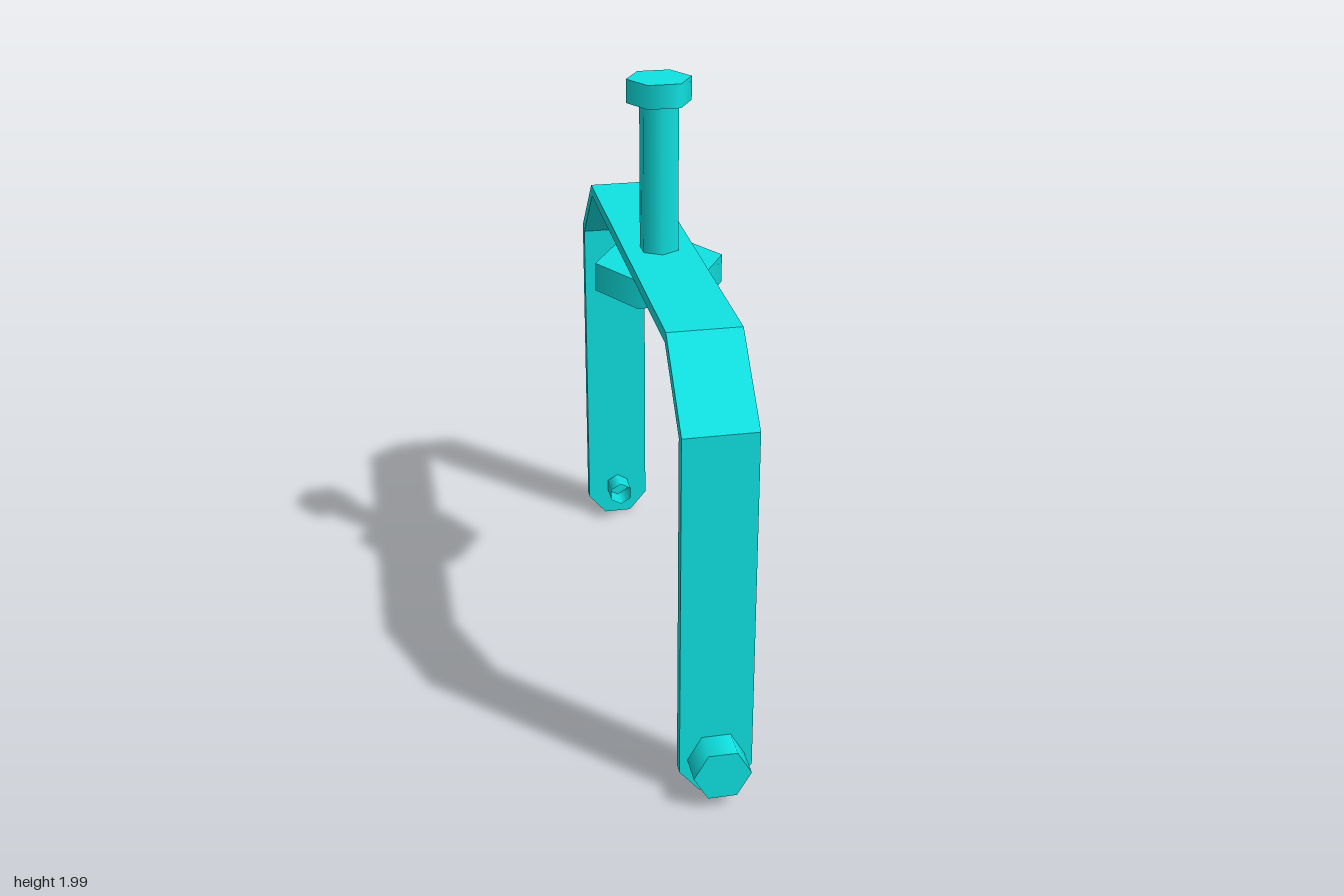
import * as THREE from 'three';

const material = new THREE.MeshStandardMaterial({ color: 0x10e4e4 });
const openMaterial = new THREE.MeshStandardMaterial({ color: 0x10e4e4, side: THREE.DoubleSide });

const HALF_WIDTH = 0.113;
const OUTER = 0.905;
const INNER = 0.867;
const LEG_TOP = 1.19;

// Outline from one half, mirrored across x = 0
const mirrored = (half) => new THREE.Shape([
  ...half,
  ...half.slice().reverse().map(([x, y]) => [-x, y]),
].map(([x, y]) => new THREE.Vector2(x, y)));

const extrude = (shape, depth) => new THREE.ExtrudeGeometry(shape, { depth, bevelEnabled: false });

function addMesh(parent, name, geometry, mat = material) {
  const mesh = new THREE.Mesh(geometry, mat);
  mesh.name = name;
  parent.add(mesh);
  return mesh;
}

// Six-sided prism along y between two heights; turned puts its corners on x
function hexPrism(radius, y0, y1, turned, open = false) {
  return new THREE.CylinderGeometry(radius, radius, y1 - y0, 6, 1, open)
    .rotateY(turned ? Math.PI / 6 : 0)
    .translate(0, (y0 + y1) / 2, 0);
}

export function createModel() {
  const model = new THREE.Group();
  model.name = 'bracket';

  // Bent top strap with 45 degree shoulders
  const strap = mirrored([
    [0.665, 1.398], [INNER, 1.195], [INNER, LEG_TOP],
    [OUTER, LEG_TOP], [OUTER, 1.21], [0.68, 1.435],
  ].reverse());
  // The half runs outside to inside, so the mirrored copy closes the band
  addMesh(model, 'topStrap', extrude(strap, HALF_WIDTH * 2)
    .translate(0, 0, -HALF_WIDTH).rotateY(-Math.PI / 2));

  // Legs with clipped feet, each with a bolt through the bottom
  const legShape = mirrored([[0.05, 0], [HALF_WIDTH, 0.075], [HALF_WIDTH, LEG_TOP]]);
  const legGeometry = extrude(legShape, OUTER - INNER).translate(0, 0, INNER);
  for (const [side, turn] of [['front', 0], ['back', Math.PI]]) {
    const arm = new THREE.Group();
    arm.name = `${side}Arm`;
    arm.rotation.y = turn;
    addMesh(arm, `${side}Leg`, legGeometry);

    const bolt = new THREE.Group();
    bolt.name = `${side}Bolt`;
    bolt.position.y = 0.118;
    bolt.rotation.x = Math.PI / 2;
    addMesh(bolt, `${side}BoltHead`, hexPrism(0.089, OUTER, 1, true));
    addMesh(bolt, `${side}BoltPin`, hexPrism(0.044, 0.785, INNER + 0.01, false, true), openMaterial);
    arm.add(bolt);
    model.add(arm);
  }

  // Central post with its cap and the large nut below the strap
  addMesh(model, 'post', hexPrism(0.065, 1.4, 1.915, false));
  addMesh(model, 'postCap', hexPrism(0.103, 1.915, 1.99, true));
  addMesh(model, 'nut', hexPrism(0.207, 1.305, 1.398, true));

  return model;
}
